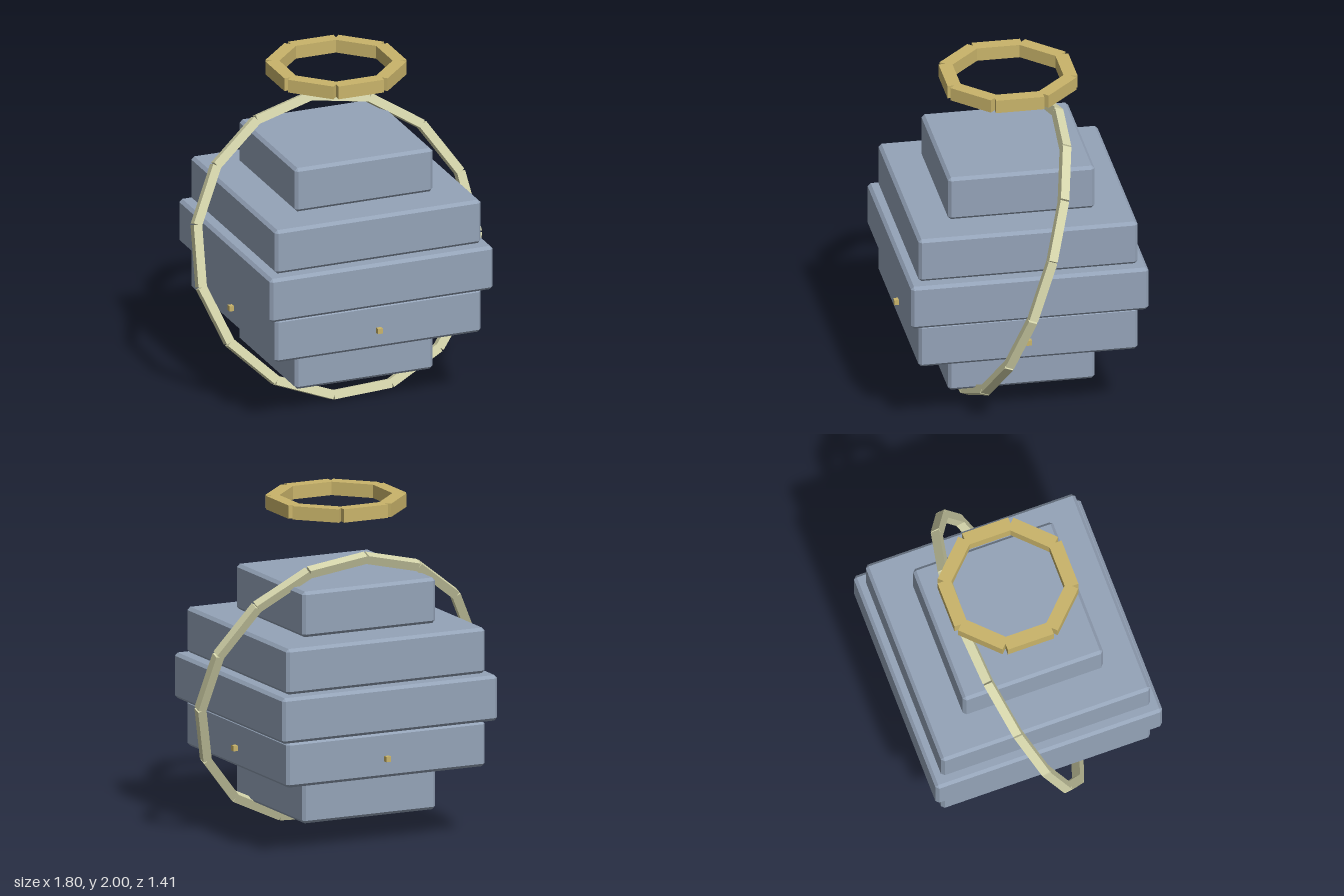
import * as THREE from 'three';
import { ConvexGeometry } from 'three/addons/geometries/ConvexGeometry.js';

const material = (name, color) => {
  const m = new THREE.MeshStandardMaterial({ color });
  m.name = name;
  return m;
};

// Box with flat chamfers on every edge
function chamferedBox(w, h, d, c) {
  const points = [];
  for (const sx of [-1, 1]) for (const sy of [-1, 1]) for (const sz of [-1, 1]) {
    const x = w / 2, y = h / 2, z = d / 2;
    points.push(
      new THREE.Vector3(sx * x, sy * (y - c), sz * (z - c)),
      new THREE.Vector3(sx * (x - c), sy * y, sz * (z - c)),
      new THREE.Vector3(sx * (x - c), sy * (y - c), sz * z));
  }
  return new ConvexGeometry(points);
}

// Ring of straight bars in the xy plane; the bars meet on their centre lines
function barRing(name, count, radius, thickness, depth, startAngle, mat) {
  const ring = new THREE.Group();
  ring.name = name;
  const length = 2 * radius * Math.tan(Math.PI / count);
  const geometry = new THREE.BoxGeometry(thickness, length, depth);
  for (let i = 0; i < count; i++) {
    const angle = startAngle + (i * 2 * Math.PI) / count;
    const bar = new THREE.Mesh(geometry, mat);
    bar.name = name + 'Segment';
    bar.position.set(radius * Math.cos(angle), radius * Math.sin(angle), 0);
    bar.rotation.z = angle;
    ring.add(bar);
  }
  return ring;
}

export function createModel() {
  const stone = material('slateBlue', 0x94a3b8);
  const pale = material('paleOlive', 0xd4d4aa);
  const gold = material('gold', 0xc9b46a);

  const model = new THREE.Group();
  model.name = 'steppedSphere';
  const centreX = -0.005, centreY = 0.851;

  // Stacked square slabs forming a stepped sphere
  [0.87, 1.3, 1.408, 1.3, 0.87].forEach((width, i) => {
    const slab = new THREE.Mesh(chamferedBox(width, 0.272, width, 0.018), stone);
    slab.name = 'bodySlab';
    slab.position.set(centreX, centreY + (i - 2) * 0.278, 0);
    model.add(slab);
  });

  // Tilted orbit ring
  const orbit = barRing('orbitRing', 15, 0.86, 0.053, 0.053, 0.15, pale);
  orbit.position.set(centreX, centreY, 0);
  orbit.rotation.x = -0.35;
  model.add(orbit);

  // Flat halo above
  const halo = barRing('halo', 8, 0.345, 0.08, 0.08, 0, gold);
  halo.position.set(centreX, 1.96, 0);
  halo.rotation.x = Math.PI / 2;
  model.add(halo);

  // Small studs on the four sides of the second slab
  const studGeometry = new THREE.BoxGeometry(0.032, 0.032, 0.032);
  for (const [x, z] of [[1, 0], [-1, 0], [0, 1], [0, -1]]) {
    const stud = new THREE.Mesh(studGeometry, gold);
    stud.name = 'stud';
    stud.position.set(centreX + x * 0.661, 0.551, z * 0.661);
    model.add(stud);
  }
  return model;
}
